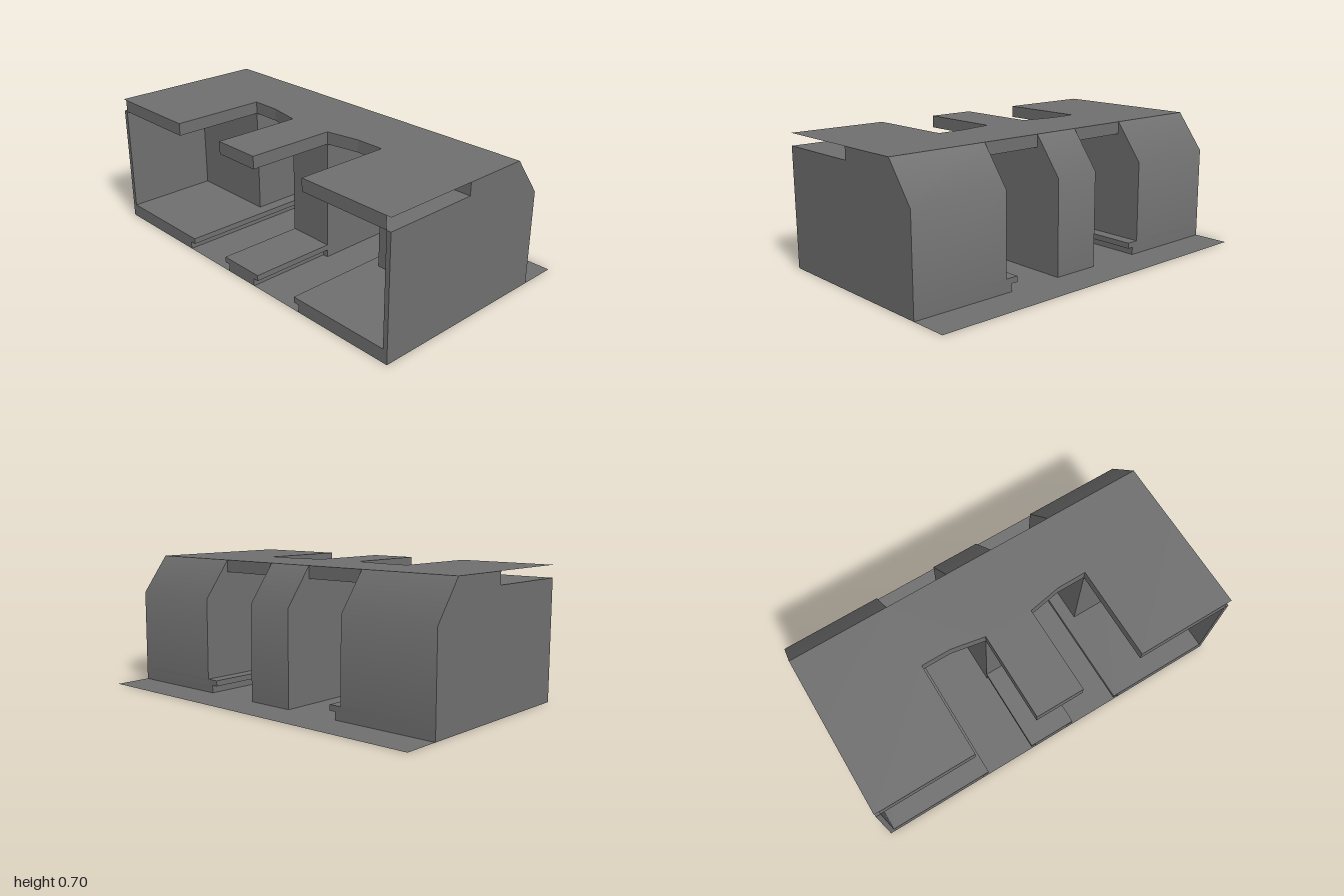
import * as THREE from 'three';
import { toCreasedNormals } from 'three/addons/utils/BufferGeometryUtils.js';

const material = new THREE.MeshStandardMaterial({ color: 0x6f6f6f });
const thin = new THREE.MeshStandardMaterial({ color: 0x6f6f6f, side: THREE.DoubleSide });

const ROOF = 0.7, CEILING = 0.635, FLOOR = 0.07, LIP = 0.04, SHOULDER = 0.5;
const FRONT = 0.6, BACK = -0.4, RIDGE = -0.25, ROOM = 0.1, PIER = 0.133;
const SLOT = 0.467, WALL = 0.975;

export function createModel() {
  const group = new THREE.Group();

  function add(name, geometry, mat = material) {
    const mesh = new THREE.Mesh(geometry, mat);
    mesh.name = name;
    group.add(mesh);
  }

  // Box given by its limits on each axis
  function box(name, x0, x1, y0, y1, z0, z1) {
    const g = new THREE.BoxGeometry(x1 - x0, y1 - y0, z1 - z0);
    add(name, g.translate((x0 + x1) / 2, (y0 + y1) / 2, (z0 + z1) / 2));
  }

  // Same box on both sides of the middle
  function pair(name, x0, x1, ...rest) {
    box(name + 'Left', x0, x1, ...rest);
    box(name + 'Right', -x1, -x0, ...rest);
  }

  // Solid with a sloped rear shoulder, its side profile swept along x
  function block(name, x0, x1, zFront) {
    const shape = new THREE.Shape([
      [BACK, 0], [zFront, 0], [zFront, ROOF], [RIDGE, ROOF], [BACK, SHOULDER],
    ].map(([z, y]) => new THREE.Vector2(z, y)));
    let g = new THREE.ExtrudeGeometry(shape, { depth: x1 - x0, bevelEnabled: false });
    g.rotateY(-Math.PI / 2).translate(x1, 0, 0);
    g = toCreasedNormals(g, 0.8);
    // Even shading across the soft shoulder edge
    const { position, normal } = g.attributes;
    for (let i = 0; i < position.count; i++) {
      const onEdge = Math.abs(position.getY(i) - SHOULDER) < 0.001;
      if (onEdge && Math.abs(normal.getX(i)) < 0.5) normal.setXYZ(i, 0, 0.316, -0.949);
    }
    add(name, g);
  }

  // Flat horizontal sheet
  function sheet(name, x0, x1, y, z0, z1) {
    const g = new THREE.PlaneGeometry(x1 - x0, z1 - z0).rotateX(-Math.PI / 2);
    add(name, g.translate((x0 + x1) / 2, y, (z0 + z1) / 2), thin);
  }

  sheet('ground', -1, 1, 0, -0.6, FRONT);

  // Main masses
  block('buildingLeft', SLOT, 1, ROOM);
  block('buildingRight', -1, -SLOT, ROOM);
  block('centrePier', -0.13, 0.13, PIER);

  // Side platforms with overhanging edges
  pair('platformBase', 0.433, WALL, 0, LIP, BACK, FRONT);
  pair('platformTop', 0.4, WALL, LIP, FLOOR, BACK, FRONT);

  // Central platform
  box('centrePlatformBase', -0.1, 0.1, 0, LIP, PIER, FRONT);
  box('centrePlatformTop', -0.13, 0.13, LIP, FLOOR, PIER, FRONT);

  // Open front rooms: end walls and the central canopy
  pair('endWall', WALL, 1, 0, CEILING, ROOM, FRONT);
  box('centreCanopy', -0.13, 0.13, CEILING, ROOF, PIER, FRONT);

  const depth = ROOF - CEILING, middle = (ROOF + CEILING) / 2;
  for (const [side, s] of [['Left', 1], ['Right', -1]]) {
    // Hollow side canopy, open above the end wall
    const span = (a, b) => [Math.min(s * a, s * b), Math.max(s * a, s * b)];
    sheet('canopyTop' + side, ...span(SLOT, 1), ROOF, ROOM, FRONT);
    sheet('canopyCeiling' + side, ...span(SLOT, WALL), CEILING, ROOM, FRONT);
    add('canopyFront' + side, new THREE.PlaneGeometry(WALL - SLOT, depth)
      .translate(s * (SLOT + WALL) / 2, middle, FRONT));
    add('canopyInnerEdge' + side, new THREE.PlaneGeometry(FRONT - ROOM, depth)
      .rotateY(-s * Math.PI / 2).translate(s * SLOT, middle, (ROOM + FRONT) / 2));

    // Roof over the passage, its front edge bending out to the pier
    const shape = new THREE.Shape([
      [0.13, RIDGE], [SLOT, RIDGE], [SLOT, ROOM], [0.31, ROOM], [0.13, PIER],
    ].map(([x, z]) => new THREE.Vector2(s * x, z)));
    const g = new THREE.ExtrudeGeometry(shape, { depth, bevelEnabled: false });
    add('passageRoof' + side, g.rotateX(Math.PI / 2).translate(0, ROOF, 0));
  }

  return group;
}
